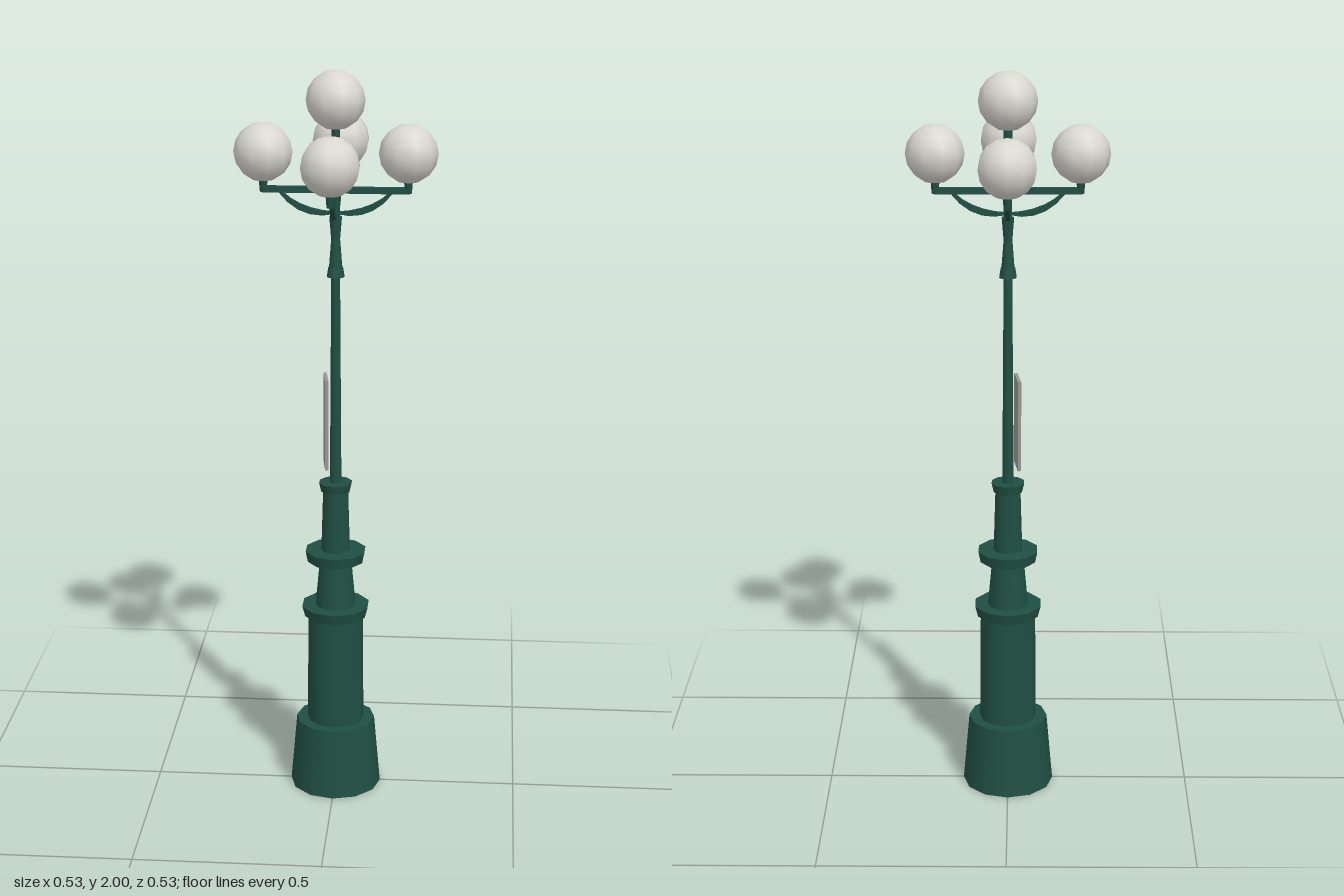
import * as THREE from 'three';

export function createModel() {
  const lamp = new THREE.Group();
  lamp.name = 'streetLamp';

  const mat = (name, color) => {
    const m = new THREE.MeshStandardMaterial({ color });
    m.name = name;
    return m;
  };
  const green = mat('darkGreenPaint', 0x1f4f43);
  const glass = mat('milkGlass', 0xd8d6cf);
  const grey = mat('greyMetal', 0x9a9795);

  const add = (parent, name, geometry, material, x = 0, y = 0, z = 0) => {
    const mesh = new THREE.Mesh(geometry, material);
    mesh.name = name;
    mesh.position.set(x, y, z);
    parent.add(mesh);
    return mesh;
  };

  // Stacked post sections: name, bottom y, top y, bottom radius, top radius, sides
  const sections = [
    ['base', 0, 0.195, 0.125, 0.108, 12],
    ['lowerColumn', 0.195, 0.505, 0.078, 0.075, 12],
    ['lowerRing', 0.505, 0.535, 0.086, 0.094, 10],
    ['middleColumn', 0.535, 0.665, 0.055, 0.043, 12],
    ['middleRing', 0.665, 0.695, 0.078, 0.084, 10],
    ['upperColumn', 0.695, 0.865, 0.039, 0.034, 12],
    ['upperRing', 0.865, 0.89, 0.04, 0.046, 10],
    ['pole', 0.89, 1.46, 0.016, 0.012, 10],
    ['collar', 1.46, 1.485, 0.024, 0.02, 10],
    ['neck', 1.485, 1.56, 0.018, 0.012, 10],
    ['capital', 1.56, 1.62, 0.012, 0.017, 10],
    ['topStem', 1.62, 1.86, 0.011, 0.011, 8],
  ];
  for (const [name, y0, y1, r0, r1, sides] of sections) {
    add(lamp, name, new THREE.CylinderGeometry(r1, r0, y1 - y0, sides), green, 0, (y0 + y1) / 2, 0);
  }

  // Globe shared by the arms and the top
  const globe = new THREE.SphereGeometry(0.077, 10, 8);
  add(lamp, 'topGlobe', globe, glass, 0, 1.923, 0);

  // Curved crescent brace under each arm
  const crescent = new THREE.Shape();
  crescent.moveTo(0.0, 1.628);
  crescent.quadraticCurveTo(0.09, 1.605, 0.15, 1.685);
  crescent.lineTo(0.14, 1.685);
  crescent.quadraticCurveTo(0.09, 1.636, 0.0, 1.632);
  const braceGeo = new THREE.ExtrudeGeometry(crescent, { depth: 0.012, bevelEnabled: false, curveSegments: 5 });
  braceGeo.translate(0, 0, -0.006);

  // Four arms, each with a brace, holder and globe
  for (let i = 0; i < 4; i++) {
    const arm = new THREE.Group();
    arm.name = 'arm' + (i + 1);
    arm.rotation.y = (i * Math.PI) / 2;
    add(arm, 'armBar', new THREE.BoxGeometry(0.19, 0.016, 0.016), green, 0.095, 1.69, 0);
    add(arm, 'armBrace', braceGeo, green);
    add(arm, 'globeHolder', new THREE.CylinderGeometry(0.012, 0.009, 0.04, 8), green, 0.188, 1.703, 0);
    add(arm, 'armGlobe', globe, glass, 0.188, 1.787, 0);
    lamp.add(arm);
  }

  // Flat sign plate hung beside the pole
  const plate = add(lamp, 'signPlate', new THREE.BoxGeometry(0.009, 0.25, 0.08), grey, -0.026, 1.06, 0);
  plate.rotation.y = 0.13;

  return lamp;
}
